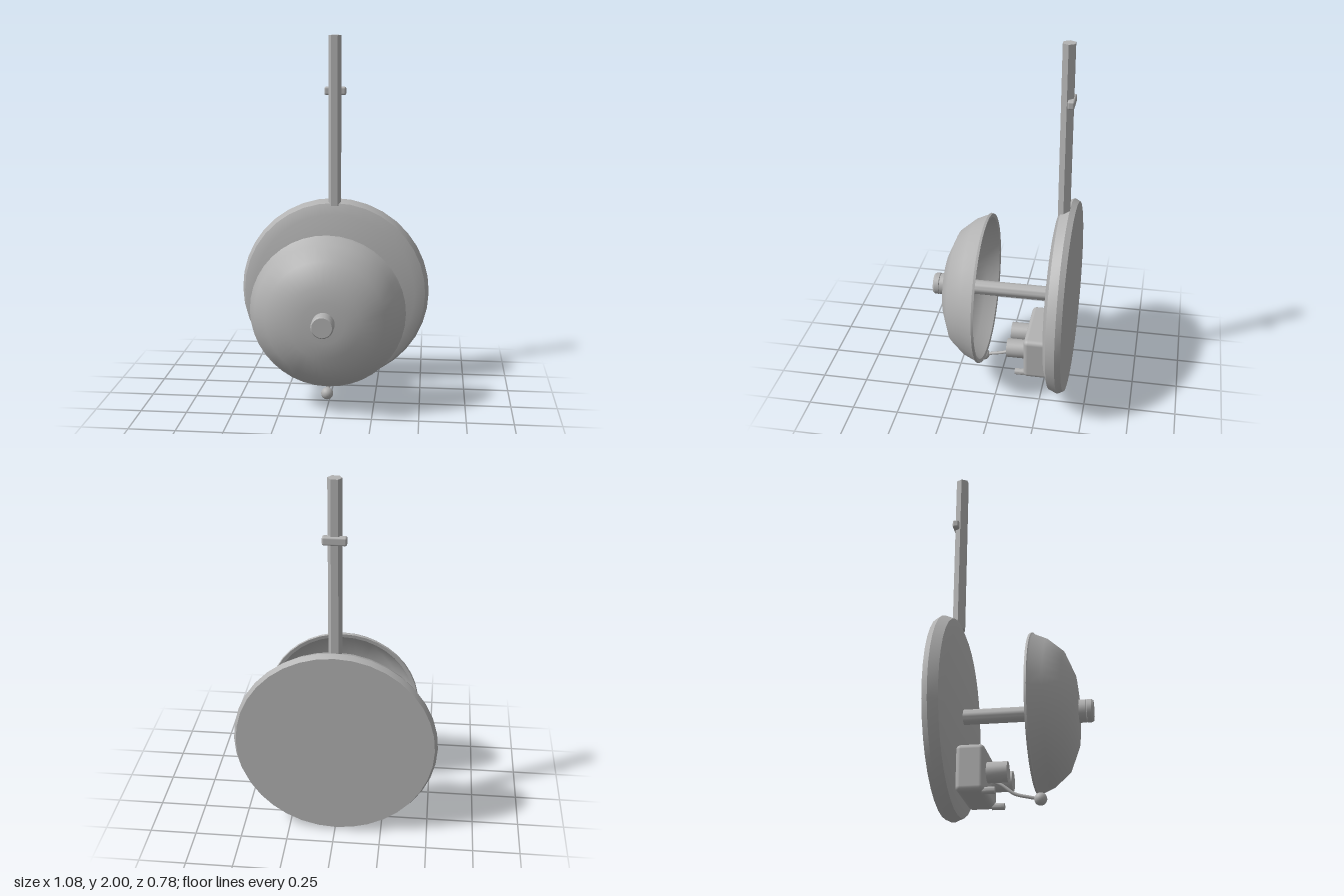
import * as THREE from 'three';
import { RoundedBoxGeometry } from 'three/addons/geometries/RoundedBoxGeometry.js';
import { toCreasedNormals } from 'three/addons/utils/BufferGeometryUtils.js';

const AXIS_Y = 0.545; // height of the shared axis of plate, post and gong

export function createModel() {
  const model = new THREE.Group();
  const metal = new THREE.MeshStandardMaterial({ color: 0xb2b2b2 });
  metal.name = 'grey metal';
  const facetedMetal = metal.clone();
  facetedMetal.flatShading = true;

  const add = (name, geometry, x, y, z, material = metal) => {
    const mesh = new THREE.Mesh(geometry, material);
    mesh.name = name;
    mesh.position.set(x, y, z);
    model.add(mesh);
    return mesh;
  };

  // Turned part: pairs of [radius, z], listed from back to front
  const turned = (profile, segments, crease) => {
    const points = profile.map(([r, z]) => new THREE.Vector2(r, z));
    const geometry = new THREE.LatheGeometry(points, segments).rotateX(Math.PI / 2);
    return crease ? toCreasedNormals(geometry, crease) : geometry;
  };

  // Cylinder along z between two depths
  const rod = (r, back, front, segments) =>
    turned([[0, back], [r, back], [r, front], [0, front]], segments, 0.6);

  // Round mounting plate with bevelled edge
  add('backPlate', turned([
    [0, -0.39], [0.525, -0.39], [0.54, -0.36], [0.52, -0.31], [0.46, -0.288], [0, -0.288],
  ], 36, 0.5), 0, AXIS_Y, 0);

  // Hollow gong: inner wall, rim, then outer wall
  add('gong', turned([
    [0, 0.295], [0.11, 0.295], [0.185, 0.285], [0.298, 0.238], [0.365, 0.16], [0.398, 0.09],
    [0.418, 0.086], [0.421, 0.098], [0.413, 0.105], [0.385, 0.17],
    [0.315, 0.253], [0.193, 0.304], [0.11, 0.314], [0, 0.318],
  ], 40, 0.75), 0, AXIS_Y, 0);

  // Post and the nut that holds the gong
  add('post', rod(0.04, -0.3, 0.31, 24), 0, AXIS_Y, 0);
  add('nut', turned([
    [0, 0.3], [0.06, 0.3], [0.06, 0.352], [0.056, 0.355], [0.06, 0.358],
    [0.06, 0.38], [0.053, 0.39], [0, 0.39],
  ], 24, 0.6), 0, AXIS_Y, 0);

  // Mechanism housing with coils and terminals
  add('housing', new RoundedBoxGeometry(0.375, 0.24, 0.145, 3, 0.025), 0, 0.215, -0.2175);
  for (const side of [-1, 1]) {
    add('coil', rod(0.053, -0.16, -0.04, 20), side * 0.082, 0.213, 0);
    add('terminal', rod(0.018, -0.16, -0.095, 14), side * 0.147, 0.102, 0);
  }

  // Curved striker arm and ball
  const arm = new THREE.CatmullRomCurve3([
    new THREE.Vector3(0, 0.2, -0.15), new THREE.Vector3(0, 0.168, -0.085),
    new THREE.Vector3(0, 0.122, -0.02), new THREE.Vector3(0, 0.103, 0.05),
    new THREE.Vector3(0, 0.09, 0.11),
  ]);
  add('strikerArm', new THREE.TubeGeometry(arm, 20, 0.009, 8), 0, 0, 0);
  add('strikerBall', new THREE.SphereGeometry(0.033, 18, 12), 0, 0.09, 0.111);

  // Six-sided conduit and its clip
  const conduit = new THREE.CylinderGeometry(0.036, 0.036, 0.95, 6).rotateY(Math.PI / 6);
  add('conduit', conduit, 0, 1.525, -0.329, facetedMetal);
  add('conduitClip', new RoundedBoxGeometry(0.122, 0.045, 0.036, 2, 0.01), 0, 1.693, -0.352);

  return model;
}
